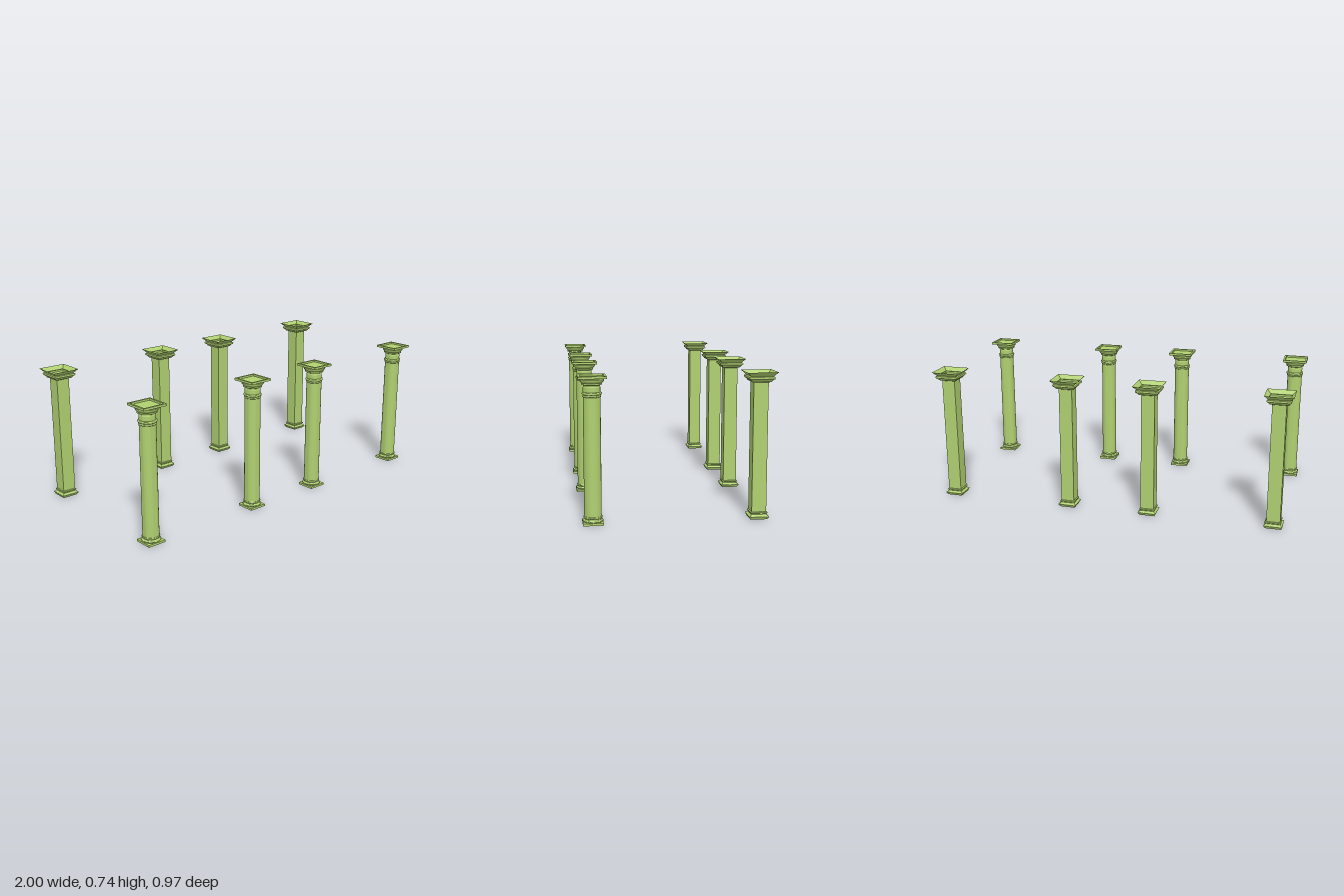
import * as THREE from 'three';
import { toCreasedNormals } from 'three/addons/utils/BufferGeometryUtils.js';

const stone = new THREE.MeshStandardMaterial({ color: 0xb0d070, side: THREE.DoubleSide });

// Sweep a [half width, height] profile around a round or square plan
function sweep(name, profile, square) {
  const k = square ? Math.SQRT2 : 1;
  const points = profile.map(([r, y]) => new THREE.Vector2(r * k, y));
  const geometry = new THREE.LatheGeometry(points, square ? 4 : 32);
  if (square) geometry.rotateY(Math.PI / 4);
  const mesh = new THREE.Mesh(toCreasedNormals(geometry, 0.6), stone);
  mesh.name = name;
  return mesh;
}

// Half-round bead between two heights, bulging out from r to r + bulge
function bead(r, bulge, y0, y1, steps = 6) {
  return Array.from({ length: steps + 1 }, (_, i) => {
    const a = (i / steps) * Math.PI;
    return [r + bulge * Math.sin(a), (y0 + y1) / 2 - ((y1 - y0) / 2) * Math.cos(a)];
  });
}

// Round column with a square plinth and a shallow square abacus
function makeColumn() {
  const column = new THREE.Group();
  column.name = 'roundColumn';
  column.add(
    sweep('plinth', [[0, 0], [0.051, 0], [0.051, 0.012], [0, 0.012]], true),
    sweep('columnBase', [
      [0.044, 0.012], ...bead(0.046, 0.005, 0.012, 0.023),
      [0.044, 0.024], [0.042, 0.028], [0.044, 0.031],
      ...bead(0.044, 0.003, 0.031, 0.04), [0.043, 0.042],
    ]),
    sweep('shaft', [[0.043, 0.04], [0.043, 0.3], [0.0425, 0.675]]),
    sweep('lowerNeckRing', bead(0.042, 0.004, 0.627, 0.637)),
    sweep('upperNeckRing', bead(0.042, 0.007, 0.638, 0.652)),
    sweep('capital', [
      [0.0425, 0.675], [0.041, 0.678], [0.041, 0.684], [0.045, 0.688],
      [0.051, 0.688], [0.051, 0.696], [0.054, 0.7], [0.059, 0.705],
      [0.0605, 0.709], [0.0605, 0.713], [0.057, 0.717], [0.057, 0.721],
    ]),
    sweep('abacus', [
      [0, 0.72], [0.0685, 0.72], [0.0685, 0.732], [0.058, 0.732],
      [0.058, 0.722], [0, 0.722],
    ], true),
  );
  return column;
}

// Hollow square pier, open at top and bottom
function makePier() {
  const pier = new THREE.Group();
  pier.name = 'squarePier';
  pier.add(
    sweep('pierBase', [
      [0.043, 0], [0.05, 0.014], [0.049, 0.017], [0.043, 0.02],
      [0.039, 0.025], [0.039, 0.028], [0.042, 0.031],
      [0.042, 0.035], [0.037, 0.038],
    ], true),
    sweep('pierShaft', [[0.037, 0.038], [0.037, 0.687]], true),
    sweep('pierCapital', [
      [0.037, 0.687], [0.05, 0.692], [0.053, 0.698], [0.057, 0.702],
      [0.063, 0.706], [0.0645, 0.711], [0.063, 0.716], [0.056, 0.719],
      [0.077, 0.74],
    ], true),
  );
  return pier;
}

export function createModel() {
  const model = new THREE.Group();
  model.name = 'colonnade';
  // Front row of round columns
  for (const x of [-0.93, -0.239, 0.234, 0.928]) {
    const column = makeColumn();
    column.position.set(x, 0, 0.417);
    model.add(column);
  }
  // Back row of square piers
  for (const x of [-0.923, -0.231, 0.231, 0.923]) {
    const pier = makePier();
    pier.position.set(x, 0, -0.409);
    model.add(pier);
  }
  return model;
}
